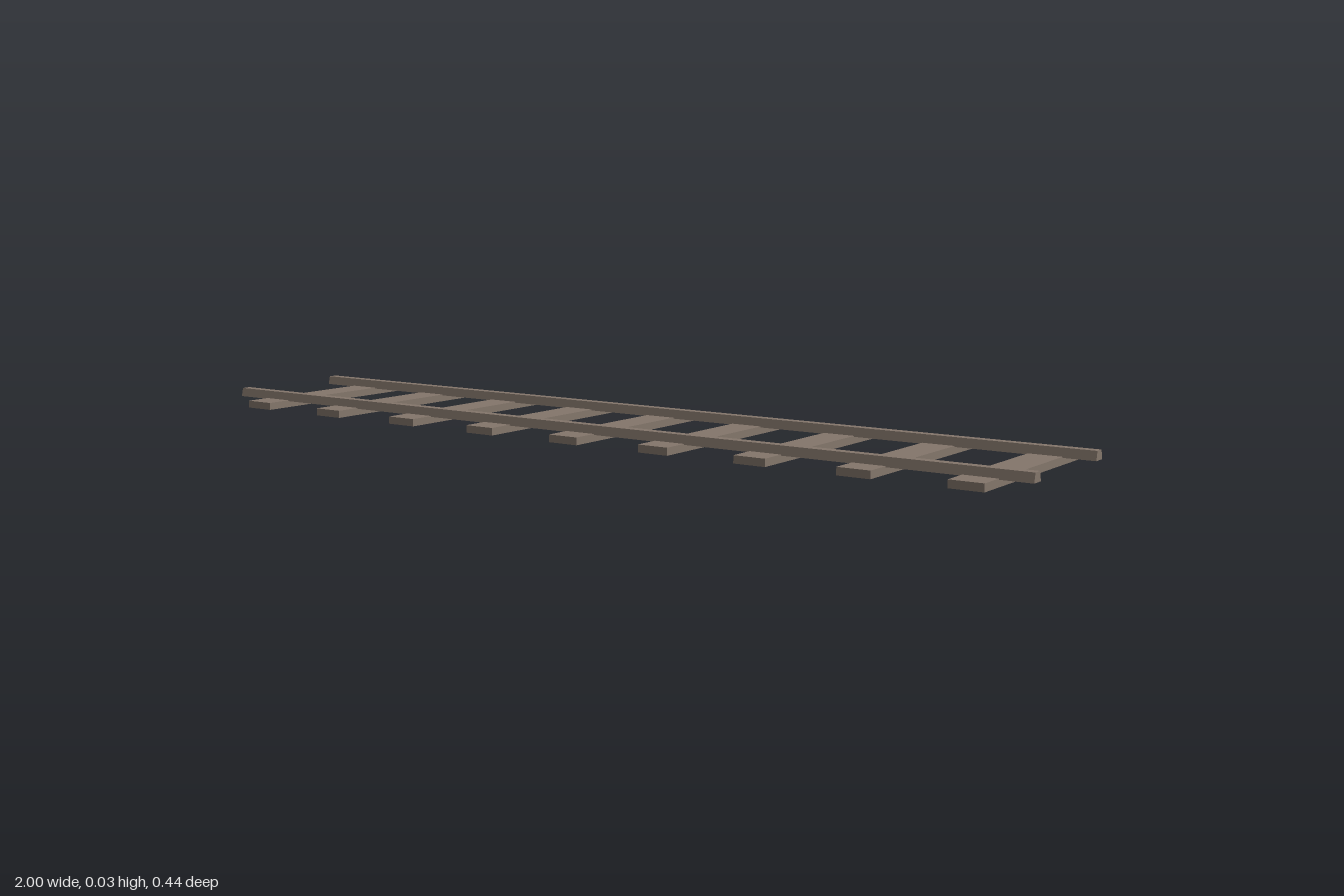
import * as THREE from 'three';

const TIE_COUNT = 9;
const TIE_SPACING = 0.222;
const TIE_CENTRE = 0.011;
const RAIL_OFFSET = 0.1445;

export function createModel() {
  const track = new THREE.Group();
  track.name = 'railwayTrack';

  const wornBrown = new THREE.MeshStandardMaterial({ color: 0x84766b, flatShading: true });
  wornBrown.name = 'wornBrown';

  // Flat cross ties, evenly spaced along the track
  const tieGeometry = new THREE.BoxGeometry(0.07, 0.016, 0.435);
  for (let i = 0; i < TIE_COUNT; i++) {
    const tie = new THREE.Mesh(tieGeometry, wornBrown);
    tie.name = `tie${i + 1}`;
    tie.position.set(TIE_CENTRE + (i - (TIE_COUNT - 1) / 2) * TIE_SPACING, 0.008, 0);
    track.add(tie);
  }

  // Rails with a tapered cross-section, slightly sunk into the ties
  const profile = new THREE.Shape([
    new THREE.Vector2(-0.0145, 0.014),
    new THREE.Vector2(0.0145, 0.014),
    new THREE.Vector2(0.0102, 0.033),
    new THREE.Vector2(-0.0102, 0.033),
  ]);
  const railGeometry = new THREE.ExtrudeGeometry(profile, { depth: 2, bevelEnabled: false });
  railGeometry.translate(0, 0, -1).rotateY(Math.PI / 2);
  for (const side of [-1, 1]) {
    const rail = new THREE.Mesh(railGeometry, wornBrown);
    rail.name = side > 0 ? 'frontRail' : 'backRail';
    rail.position.z = side * RAIL_OFFSET;
    track.add(rail);
  }

  return track;
}
